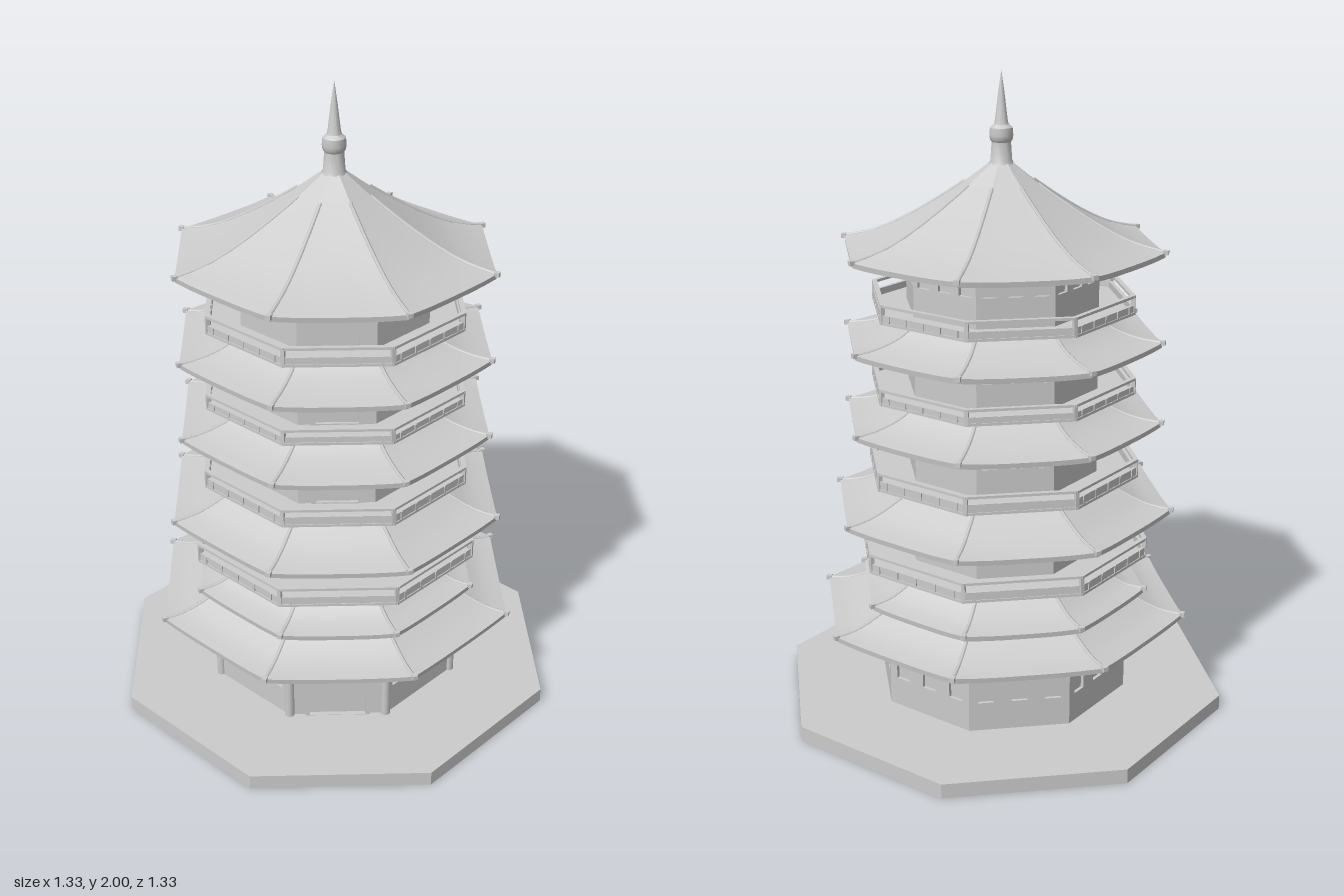
import * as THREE from 'three';
import { toCreasedNormals } from 'three/addons/utils/BufferGeometryUtils.js';

const T = Math.tan(Math.PI / 8), C = Math.cos(Math.PI / 8);
const smooth = new THREE.MeshStandardMaterial({ color: 0xcccccc });
const flat = new THREE.MeshStandardMaterial({ color: 0xcccccc, flatShading: true });

function add(parent, name, geometry, material = flat) {
  const m = new THREE.Mesh(geometry, material);
  m.name = name;
  parent.add(m);
  return m;
}

// Repeats a builder on the eight sides; each side is built facing +z
function eachSide(parent, name, build) {
  const group = new THREE.Group();
  group.name = name;
  for (let k = 0; k < 8; k++) {
    const side = new THREE.Group();
    side.name = name + 'Side';
    side.rotation.y = k * Math.PI / 4;
    build(side, k);
    group.add(side);
  }
  parent.add(group);
}

// Octagonal ring from a counter-clockwise section of [apothem, y]
function octRing(section) {
  const pts = [...section, section[0]].map(([a, y]) => new THREE.Vector2(a / C, y));
  return new THREE.LatheGeometry(pts, 8, Math.PI / 8);
}
const boxRing = (r0, r1, y0, y1) => octRing([[r0, y0], [r1, y0], [r1, y1], [r0, y1]]);

function rectPath(x, y0, y1, w) {
  return new THREE.Path([[x - w / 2, y0], [x - w / 2, y1], [x + w / 2, y1], [x + w / 2, y0]]
    .map(p => new THREE.Vector2(...p)));
}

// Door outline with rounded upper corners
function archPoints(w, y0, y1) {
  const r = w * 0.5, s = new THREE.Shape();
  s.moveTo(-w, y0);
  s.lineTo(-w, y1 - r);
  s.quadraticCurveTo(-w, y1, -w + r, y1);
  s.lineTo(w - r, y1);
  s.quadraticCurveTo(w, y1, w, y1 - r);
  s.lineTo(w, y0);
  return s.getPoints(6);
}

function extrude(shape, depth, z) {
  return new THREE.ExtrudeGeometry(shape, { depth, bevelEnabled: false }).translate(0, 0, z);
}

// Storey: three windows on each side, an arched door at the front
function storey(parent, { a, y0, y1, floor, win, step, winW, doorW, doorTop }) {
  const t = 0.025, h = a * T;
  eachSide(parent, 'storeyWall', (side, k) => {
    const wall = new THREE.Shape([[-h, y0], [h, y0], [h, y1], [-h, y1]].map(p => new THREE.Vector2(...p)));
    if (k === 0) {
      wall.holes.push(new THREE.Path(archPoints(doorW, floor, doorTop)));
      const frame = new THREE.Shape(archPoints(doorW + 0.014, floor, doorTop + 0.012));
      frame.holes.push(new THREE.Path(archPoints(doorW, floor + 0.002, doorTop)));
      add(side, 'doorFrame', extrude(frame, 0.008, a));
      add(side, 'door', extrude(new THREE.Shape(archPoints(doorW, floor, doorTop)), 0.006, a - 0.016));
    } else {
      for (const i of [-1, 0, 1]) {
        wall.holes.push(rectPath(i * step, win[0], win[1], winW));
        add(side, 'windowPane', new THREE.BoxGeometry(winW, win[1] - win[0], 0.006)
          .translate(i * step, (win[0] + win[1]) / 2, a - 0.013));
      }
    }
    add(side, 'wall', extrude(wall, t, a - t));
  });
}

// Swept roof: profile runs from the eave to the top, corners lift slightly at the eave
function roof(parent, profile, soffitR, ridgeStop = 1) {
  const curve = new THREE.SplineCurve(profile.map(p => new THREE.Vector2(...p)));
  const [eaveR, eaveY] = profile[0], thick = 0.016, lift = 0.006, N = 10;
  const rows = [];
  for (let i = N; i >= 0; i--) {
    const p = curve.getPoint(i / N);
    rows.push([p.x, p.y, (1 - i / N) ** 3]);
  }
  rows.push([eaveR - 0.002, eaveY - thick, 1], [soffitR, eaveY - thick + 0.004, 0]);
  eachSide(parent, 'roof', side => {
    const cols = 12, g = new THREE.PlaneGeometry(1, 1, cols, rows.length - 1);
    const pos = g.attributes.position;
    rows.forEach(([r, y, f], j) => {
      for (let i = 0; i <= cols; i++) {
        const u = i / cols * 2 - 1;
        pos.setXYZ(j * (cols + 1) + i, u * r * T, y + lift * f * Math.abs(u) ** 3, r);
      }
    });
    add(side, 'roofPanel', toCreasedNormals(g, 0.4), smooth);
    // Ridge along the corner, ending in a small tip
    const line = [];
    for (let i = 0; i <= N; i++) {
      const s = i / N * ridgeStop, p = curve.getPoint(s);
      line.push(new THREE.Vector3(p.x * T, p.y + lift * (1 - s) ** 3 - 0.001, p.x));
    }
    const tube = new THREE.TubeGeometry(new THREE.CatmullRomCurve3(line), 14, 0.006, 6);
    add(side, 'ridge', tube, smooth);
    const tip = add(side, 'ridgeTip', new THREE.BoxGeometry(0.016, 0.014, 0.016));
    tip.position.copy(line[0]);
    tip.rotation.y = Math.PI / 8;
  });
}

// Balcony: corbelled underside with brackets, low parapet and open handrail
function balcony(parent, r, y0, y1, top, inner, baseY) {
  const g = new THREE.Group();
  g.name = 'balcony';
  parent.add(g);
  const lip = r - 0.03;
  add(g, 'balconyFloor', octRing([[0.2, baseY], [inner, baseY], [lip, y0], [r, y0], [r, y0 + 0.008], [0.2, y0 + 0.008]]));
  add(g, 'parapet', boxRing(r - 0.014, r - 0.003, y0 + 0.004, y1));
  add(g, 'handrail', boxRing(r - 0.015, r, top - 0.008, top));
  eachSide(g, 'railing', side => {
    add(side, 'cornerPost', new THREE.BoxGeometry(0.012, top - y0, 0.012)
      .rotateY(Math.PI / 8).translate((r - 0.007) * T, (top + y0) / 2, r - 0.007));
    for (let i = -2; i <= 2; i++) {
      add(side, 'baluster', new THREE.BoxGeometry(0.006, y1 - y0, 0.006)
        .translate(i * r * T / 2.5, (y0 + y1) / 2, r - 0.003));
      // Brackets fan out under the floor
      const a = new THREE.Vector3(i * inner * T / 2.5, baseY, inner);
      const b = new THREE.Vector3(i * lip * T / 2.5, y0, lip);
      const bracket = add(side, 'bracket', new THREE.BoxGeometry(0.008, 0.008, a.distanceTo(b)));
      bracket.position.copy(a).add(b).multiplyScalar(0.5);
      bracket.quaternion.setFromUnitVectors(new THREE.Vector3(0, 0, 1), b.sub(a).normalize());
    }
  });
}

export function createModel() {
  const model = new THREE.Group();
  model.name = 'pagoda';

  add(model, 'platform', boxRing(0.37, 0.664, 0, 0.046));

  // Ground floor with columns at the front corners
  storey(model, { a: 0.376, y0: 0.005, y1: 0.38, floor: 0.045, win: [0.138, 0.235], step: 0.104, winW: 0.05, doorW: 0.088, doorTop: 0.263 });
  add(model, 'groundCeiling', new THREE.CylinderGeometry(0.37 / C, 0.37 / C, 0.008, 8, 1, false, Math.PI / 8).translate(0, 0.376, 0));
  for (const s of [-1, 1]) {
    for (const [x, z] of [[0.152, 0.375], [0.375, 0.152]]) {
      add(model, 'column', new THREE.CylinderGeometry(0.015, 0.015, 0.27, 10).translate(s * x, 0.18, z), smooth);
    }
  }
  roof(model, [[0.545, 0.312], [0.48, 0.324], [0.41, 0.355], [0.36, 0.388]], 0.36);
  roof(model, [[0.43, 0.388], [0.37, 0.402], [0.31, 0.437], [0.26, 0.48]], 0.34);

  // Upper storeys: floor, parapet and rail heights, balcony size, and the roof above
  const levels = [
    { r: 0.434, y0: 0.503, y1: 0.535, top: 0.567, base: 0.465, a: 0.285, win: [0.58, 0.65], eaveR: 0.5, eaveY: 0.664, roofTop: 0.768 },
    { r: 0.403, y0: 0.767, y1: 0.8, top: 0.826, base: 0.742, a: 0.282, win: [0.86, 0.927], eaveR: 0.465, eaveY: 0.946, roofTop: 1.033 },
    { r: 0.39, y0: 1.037, y1: 1.063, top: 1.088, base: 1.01, a: 0.28, win: [1.125, 1.192], eaveR: 0.462, eaveY: 1.199, roofTop: 1.284 },
    { r: 0.383, y0: 1.286, y1: 1.315, top: 1.346, base: 1.265, a: 0.28, win: [1.385, 1.452], eaveR: 0.463, eaveY: 1.476 },
  ];
  for (const { r, y0, y1, top, base, a, win, eaveR, eaveY, roofTop } of levels) {
    balcony(model, r, y0, y1, top, 0.29, base);
    storey(model, { a, y0, y1: eaveY + 0.005, floor: y0 + 0.01, win, step: 0.077, winW: 0.046, doorW: 0.064, doorTop: win[1] - 0.002 });
    if (roofTop) {
      const h = roofTop - eaveY;
      roof(model, [[eaveR, eaveY], [eaveR - 0.07, eaveY + h * 0.15], [eaveR - 0.14, eaveY + h * 0.46], [0.26, roofTop]], a - 0.01);
    }
  }

  // Crowning roof and finial
  roof(model, [[0.463, 1.476], [0.36, 1.507], [0.25, 1.567], [0.13, 1.65], [0.06, 1.706], [0.026, 1.735]], 0.27, 0.66);
  const finial = [[0.045, 1.71], [0.033, 1.735], [0.029, 1.79], [0.034, 1.797], [0.036, 1.81], [0.034, 1.832], [0.022, 1.842], [0.019, 1.855], [0.01, 1.93], [0, 2]];
  add(model, 'finial', toCreasedNormals(new THREE.LatheGeometry(finial.map(p => new THREE.Vector2(...p)), 20), 0.6), smooth);

  return model;
}
